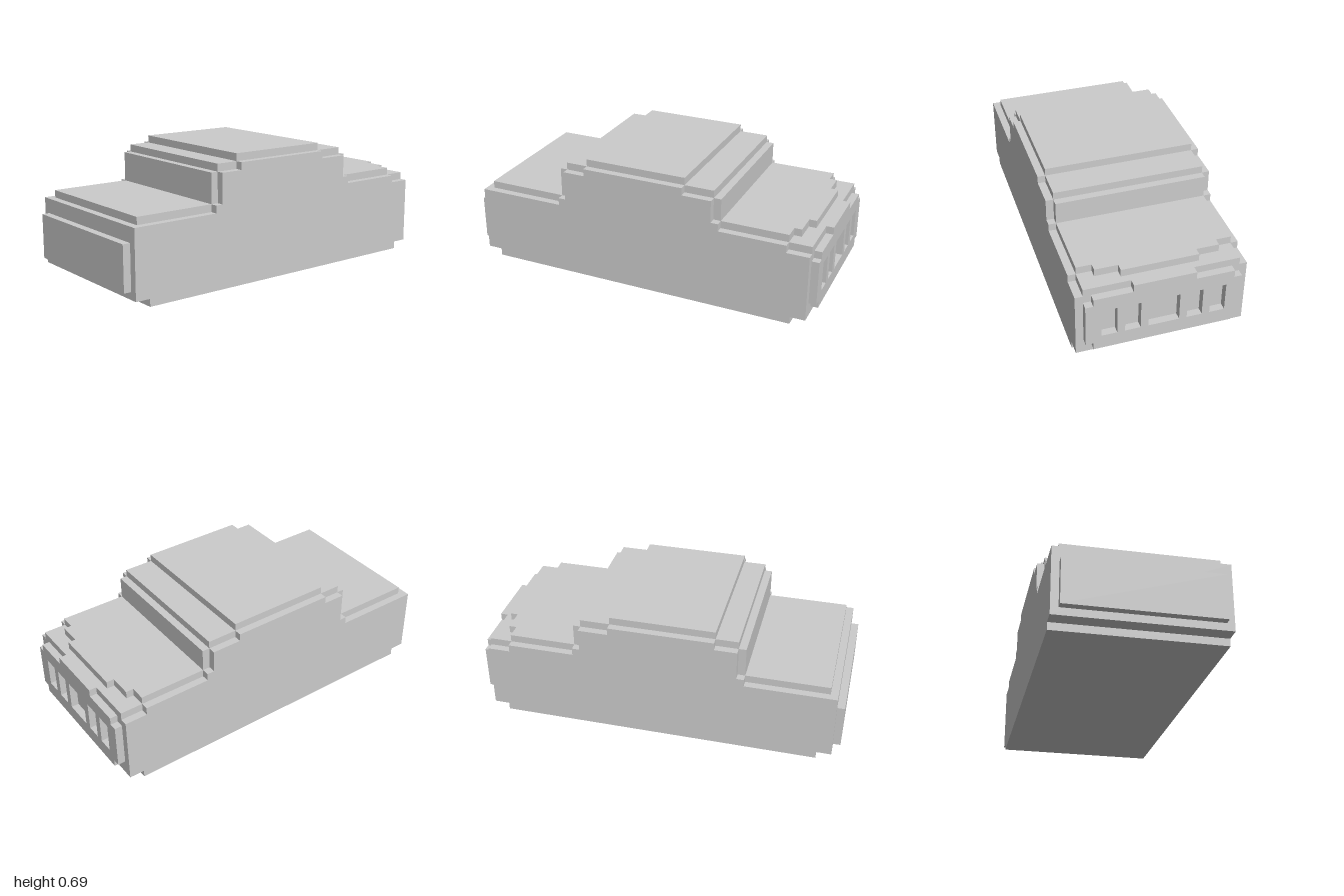
import * as THREE from 'three';

const U = 2 / 49; // one block of the stepped grid

const material = new THREE.MeshStandardMaterial({ color: 0xcccccc, flatShading: true });

const toPoints = (pairs) => pairs.map(([a, b]) => new THREE.Vector2(a * U, b * U));

// Extrude an outline given in blocks; depth runs from start to end along local z
function slab(pairs, start, end, holes = []) {
  const shape = new THREE.Shape(toPoints(pairs));
  for (const h of holes) shape.holes.push(new THREE.Path(toPoints(h)));
  const geometry = new THREE.ExtrudeGeometry(shape, { depth: (end - start) * U, bevelEnabled: false });
  return geometry.translate(0, 0, start * U);
}

// Complete a half outline by mirroring it across the second axis
const mirrored = (half) => [...half, ...half.map(([a, b]) => [-a, b]).reverse()];

const rectangle = (a0, a1, b0, b1) => [[a0, b0], [a0, b1], [a1, b1], [a1, b0]];

export function createModel() {
  const group = new THREE.Group();
  const add = (name, geometry) => {
    const mesh = new THREE.Mesh(geometry, material);
    mesh.name = name;
    group.add(mesh);
  };
  // Side profiles are counted in blocks from the rear end
  const fromRear = (pairs) => pairs.map(([i, j]) => [i - 24.5, j]);

  // Full-width body with stepped sides
  add('body', slab(fromRear([
    [3, 0], [46, 0], [46, 1], [48, 1], [48, 10], [45, 10], [45, 11], [36, 11],
    [36, 12], [35, 12], [35, 15], [31, 15], [31, 16], [17, 16], [17, 15], [14, 15],
    [14, 11], [13, 11], [13, 10], [1, 10], [1, 1], [3, 1],
  ]), -11, 11));

  // Narrower raised layer: trunk lid, cabin windows, roof and nose
  add('cabinAndDeck', slab(fromRear([
    [2, 10], [48, 10], [48, 11], [36, 11], [36, 15], [35, 15], [35, 16], [31, 16],
    [31, 17], [17, 17], [17, 16], [14, 16], [14, 15], [13, 15], [13, 11], [2, 11],
  ]), -10, 10));

  // Hood plate with a stepped leading edge
  add('hood', slab(fromRear([
    [36, -10], [45, -10], [45, -8], [46, -8], [46, -5], [47, -5],
    [47, 5], [46, 5], [46, 8], [45, 8], [45, 10], [36, 10],
  ]), 11, 12).rotateX(-Math.PI / 2));

  // Front grille plate with five openings
  const openings = [[-8, -6], [-5, -3], [-2, 2], [3, 5], [6, 8]];
  add('grille', slab(mirrored([
    [9, 2], [9, 3], [10, 3], [10, 9], [9, 9], [9, 10], [4, 10], [4, 11],
  ]), 23.5, 24.5, openings.map(([a, b]) => rectangle(a, b, 4, 8))).rotateY(Math.PI / 2));

  // Rear bumper plate
  add('rearPlate', slab(mirrored([[10, 2], [10, 8]]), -24.5, -23.5).rotateY(Math.PI / 2));

  return group;
}
